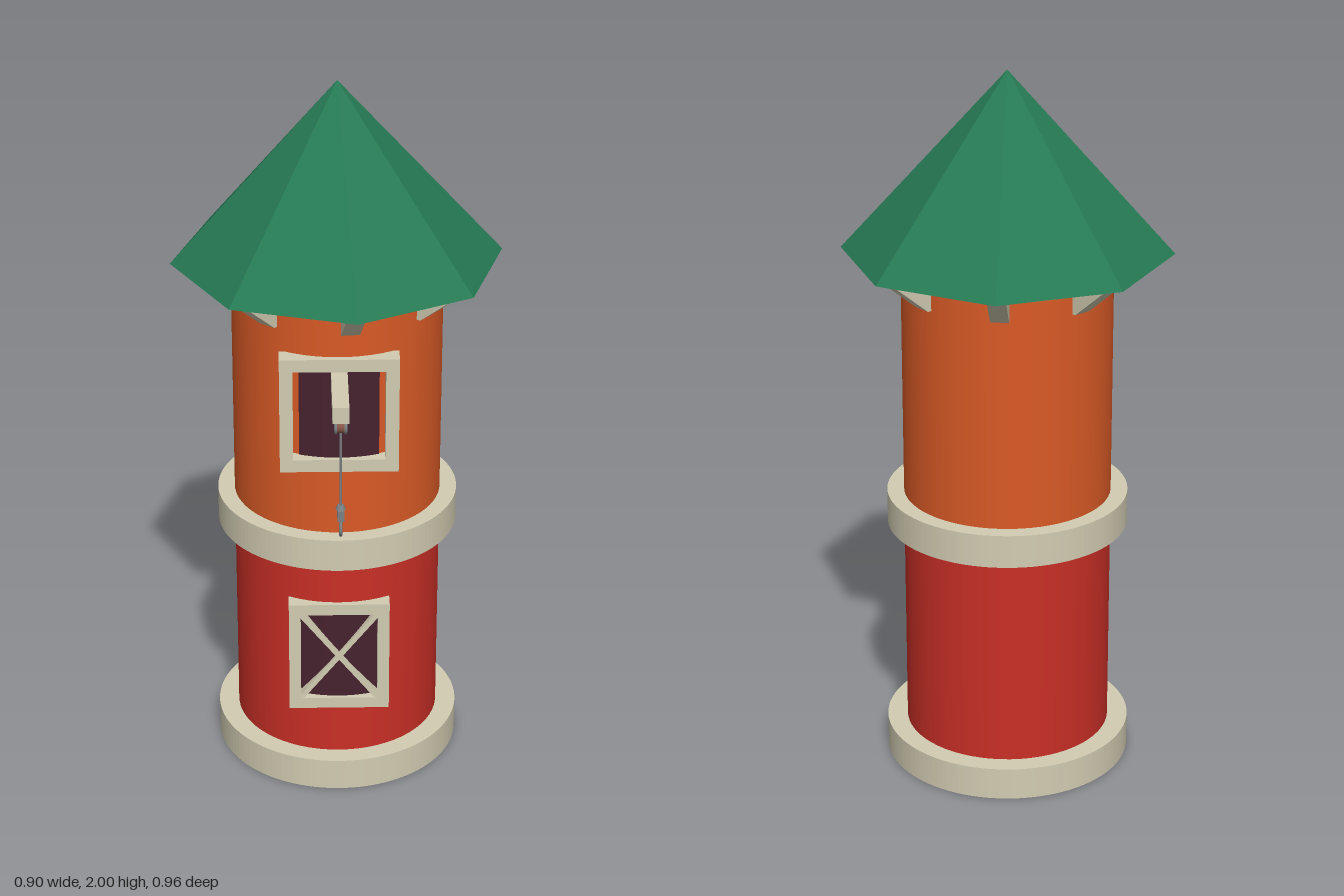
import * as THREE from 'three';

const mat = (name, color, extra = {}) => new THREE.MeshStandardMaterial({ name, color, ...extra });

export function createModel() {
  const cream = mat('cream', 0xd2ccb2);
  const red = mat('red', 0xc92f26);
  const orange = mat('orange', 0xd95a26, { side: THREE.DoubleSide });
  const green = mat('green', 0x267a54);
  const dark = mat('darkPlum', 0x46222f, { side: THREE.DoubleSide });
  const grey = mat('grey', 0x7b8083);
  const rust = mat('rust', 0x8a5a4a);

  const model = new THREE.Group();
  model.name = 'tower';
  const CZ = -0.027, R = 0.29, TURN = 0.1;

  const add = (parent, name, geo, material, x = 0, y = 0, z = 0) => {
    const m = new THREE.Mesh(geo, material);
    m.name = name;
    m.position.set(x, y, z);
    parent.add(m);
    return m;
  };
  const box = (parent, name, material, w, h, d, x, y, z) =>
    add(parent, name, new THREE.BoxGeometry(w, h, d), material, x, y, z);
  const flat = (g) => {
    const n = g.toNonIndexed();
    n.computeVertexNormals();
    return n;
  };

  // Cylindrical walls
  add(model, 'lowerWall', new THREE.CylinderGeometry(R, R, 0.755, 64), red, 0, 0.3775, CZ);
  add(model, 'upperWall', new THREE.CylinderGeometry(R, R, 0.695, 64), orange, 0, 1.1025, CZ);

  // Stone rings around the wall
  const ring = (name, r, y0, y1) => {
    const s = new THREE.Shape().absarc(0, 0, r, 0, Math.PI * 2);
    s.holes.push(new THREE.Path().absarc(0, 0, R - 0.002, 0, Math.PI * 2, true));
    const g = new THREE.ExtrudeGeometry(s, { depth: y1 - y0, bevelEnabled: false, curveSegments: 64 });
    g.rotateX(-Math.PI / 2);
    add(model, name, g, cream, 0, y0, CZ);
  };
  ring('baseRing', 0.347, 0, 0.093);
  ring('middleRing', 0.337, 0.71, 0.804);

  // Eight-sided roof with a hollow underside
  const roof = new THREE.Group();
  roof.name = 'roof';
  roof.position.set(0, 1.5, CZ);
  roof.rotation.y = TURN;
  model.add(roof);
  add(roof, 'roofShell', flat(new THREE.ConeGeometry(0.454, 0.5, 8, 1, true)), green, 0, 0.25, 0);
  const rim = new THREE.RingGeometry(0.415, 0.454, 8, 1);
  rim.rotateX(Math.PI / 2);
  add(roof, 'roofRim', rim, green);
  add(roof, 'roofLining', flat(new THREE.ConeGeometry(0.415, 0.45, 8, 1, true)), orange, 0, 0.225, 0);

  // Slanted brackets under each roof corner
  for (let i = 0; i < 8; i++) {
    const arm = new THREE.Group();
    arm.name = 'roofBracket';
    arm.position.set(0, 0, CZ);
    arm.rotation.y = TURN + i * Math.PI / 4;
    model.add(arm);
    const s = new THREE.Shape([[-0.27, 1.4], [-0.30, 1.4], [-0.425, 1.503], [-0.38, 1.53], [-0.27, 1.45]]
      .map(([a, b]) => new THREE.Vector2(a, b)));
    const g = new THREE.ExtrudeGeometry(s, { depth: 0.05, bevelEnabled: false });
    g.translate(0, 0, -0.025);
    g.rotateY(Math.PI / 2);
    add(arm, 'bracketBeam', g, cream);
  }

  // Window: extruded frame and a dark pane following the wall
  const windowAt = (name, w, y0, y1, border, zBack, zFront, paneHalf) => {
    const g = new THREE.Group();
    g.name = name;
    model.add(g);
    const rect = (path, a, b, c) => path.moveTo(-a, b).lineTo(a, b).lineTo(a, c).lineTo(-a, c).closePath();
    const s = new THREE.Shape();
    rect(s, w, y0, y1);
    const hole = new THREE.Path();
    rect(hole, w - border, y0 + border, y1 - border);
    s.holes.push(hole);
    add(g, 'frame', new THREE.ExtrudeGeometry(s, { depth: zFront - zBack, bevelEnabled: false }), cream, 0, 0, zBack);
    const a = Math.asin(paneHalf / (R + 0.003));
    const h = y1 - y0 - border * 2 + 0.01;
    add(g, 'pane', new THREE.CylinderGeometry(R + 0.003, R + 0.003, h, 16, 1, true, -a, 2 * a), dark, 0, (y0 + y1) / 2, CZ);
    return g;
  };
  windowAt('upperWindow', 0.16, 1.0, 1.333, 0.036, 0.225, 0.28, 0.108);
  const lower = windowAt('lowerWindow', 0.14, 0.245, 0.582, 0.033, 0.228, 0.277, 0.115);

  // Crossed bars of the lower window
  for (const side of [-1, 1]) {
    const bar = box(lower, 'crossBar', cream, 0.014, 0.345, 0.04, 0, 0.4135, 0.255);
    bar.rotation.z = side * Math.atan2(0.214, 0.271);
  }

  // Hoist: beam, pulley, rope and hook
  const hoist = new THREE.Group();
  hoist.name = 'hoist';
  model.add(hoist);
  box(hoist, 'hoistBeam', cream, 0.044, 0.046, 0.24, 0, 1.268, 0.36);
  const disc = (name, r, t, material, x) => {
    const g = new THREE.CylinderGeometry(r, r, t, 20);
    g.rotateZ(Math.PI / 2);
    add(hoist, name, g, material, x, 1.228, 0.452);
  };
  disc('pulleyWheel', 0.021, 0.024, rust, 0);
  disc('pulleyCheek', 0.025, 0.007, grey, -0.013);
  disc('pulleyCheek', 0.025, 0.007, grey, 0.013);
  add(hoist, 'rope', new THREE.CylinderGeometry(0.0035, 0.0035, 0.24, 8), grey, 0, 1.105, 0.461);
  box(hoist, 'hookBlock', grey, 0.018, 0.03, 0.04, 0, 0.972, 0.46);
  add(hoist, 'hookBlockTop', new THREE.CylinderGeometry(0.008, 0.014, 0.012, 10), grey, 0, 0.991, 0.46);
  const curve = new THREE.CatmullRomCurve3([[0.96, 0.46], [0.946, 0.462], [0.938, 0.474], [0.922, 0.478],
    [0.91, 0.467], [0.908, 0.455], [0.922, 0.446]].map(([y, z]) => new THREE.Vector3(0, y, z)));
  add(hoist, 'hook', new THREE.TubeGeometry(curve, 24, 0.0045, 8), grey);

  return model;
}
